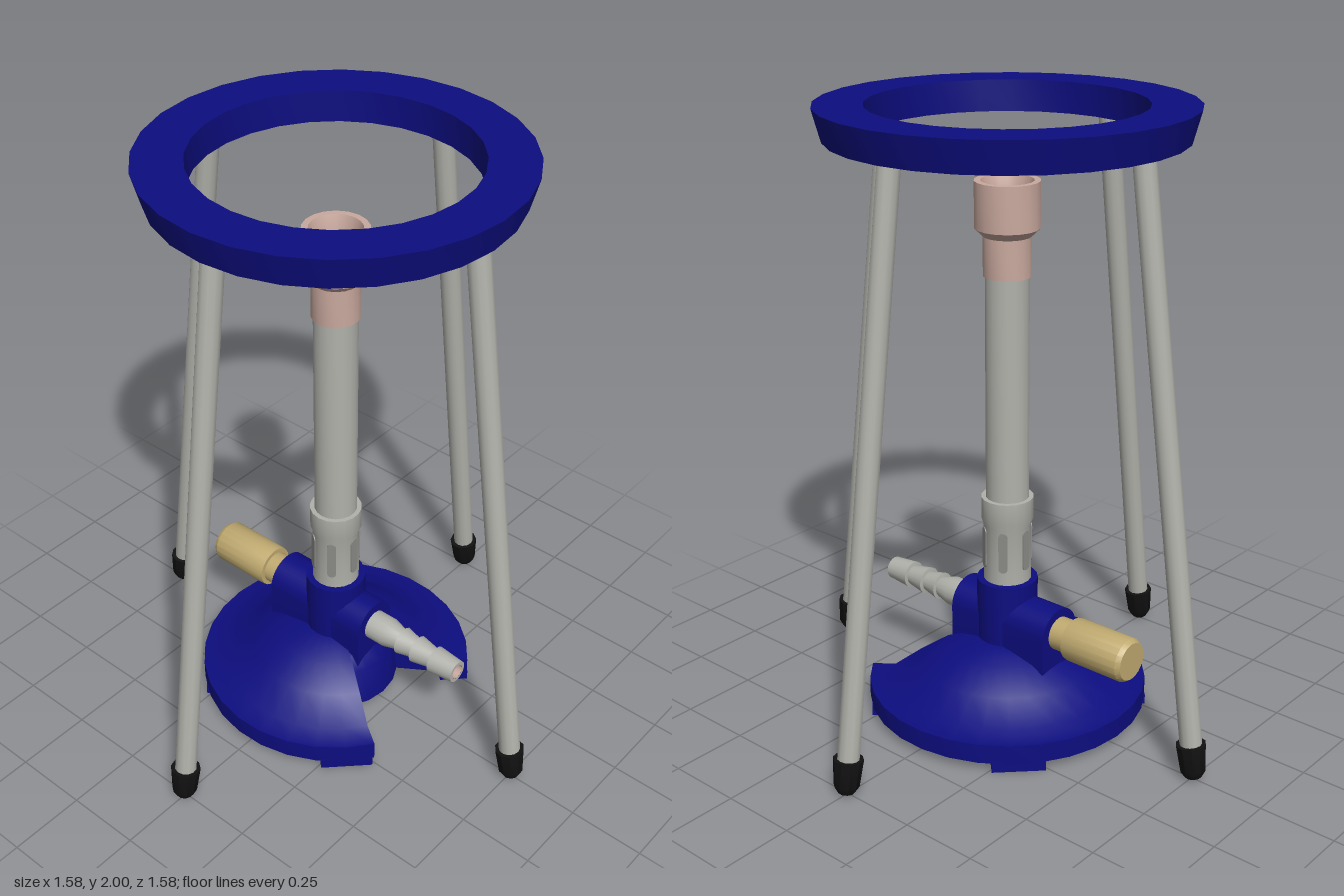
import * as THREE from 'three';
import { toCreasedNormals } from 'three/addons/utils/BufferGeometryUtils.js';

const material = (name, color, side = THREE.FrontSide) => {
  const m = new THREE.MeshStandardMaterial({ color, side });
  m.name = name;
  return m;
};

export function createModel() {
  const model = new THREE.Group();
  model.name = 'burnerAndStand';
  const blue = material('navy enamel', 0x0d0d80, THREE.DoubleSide);
  const steel = material('steel', 0xb2b2ac);
  const shade = material('slot grey', 0x8c8c88);
  const copper = material('copper', 0xc9a99e);
  const brass = material('brass', 0xc0aa70);
  const rubber = material('black rubber', 0x121212);
  const bore = material('bore slate', 0x44445f);

  const add = (name, geometry, mat, parent = model) => {
    const mesh = new THREE.Mesh(geometry, mat);
    mesh.name = name;
    parent.add(mesh);
    return mesh;
  };
  // Turned part from [radius, height] pairs, listed upwards on the outside
  const turned = (pts, segments = 20, start = 0, length = Math.PI * 2) =>
    toCreasedNormals(new THREE.LatheGeometry(
      pts.map(([r, y]) => new THREE.Vector2(r, y)), segments, start, length), 0.6);

  // Support ring
  add('supportRing', turned([[0.425, 1.9], [0.55, 1.9], [0.577, 2], [0.425, 2], [0.425, 1.9]], 28), blue);

  // Four splayed legs with rubber tips
  for (let i = 0; i < 4; i++) {
    const pivot = new THREE.Group();
    pivot.name = 'leg' + (i + 1);
    pivot.rotation.y = i * Math.PI / 2;
    const leg = new THREE.Group();
    leg.name = 'splayedLeg';
    leg.position.set(0.757, 0.006, 0);
    leg.rotation.z = 0.135;
    add('legRod', turned([[0, 0.08], [0.035, 0.08], [0.035, 1.925], [0, 1.925]], 12), steel, leg);
    add('rubberTip', turned([[0, 0], [0.026, 0.003], [0.04, 0.025], [0.048, 0.115], [0, 0.115]], 10), rubber, leg);
    pivot.add(leg);
    model.add(pivot);
  }

  // Domed base with a wedge cut out on the hose side
  const half = 0.585;
  const domeProfile = [[0, 0.03], [0.46, 0.03], [0.46, 0.095], [0.38, 0.1], [0.29, 0.165], [0.2, 0.22], [0.1, 0.245], [0, 0.25]];
  add('base', turned(domeProfile, 24, Math.PI / 2 + half, 2 * Math.PI - 2 * half), blue);
  const section = new THREE.ShapeGeometry(new THREE.Shape(domeProfile.map(([x, y]) => new THREE.Vector2(x, y))));
  for (const s of [-1, 1]) add('notchWall', section, blue).rotation.y = s * half;
  add('baseCore', turned([[0, 0.03], [0.215, 0.03], [0.2, 0.17], [0.17, 0.22], [0.1, 0.245], [0, 0.25]]), blue);

  // Low pads under the rim
  for (let i = 0; i < 4; i++) {
    const a = Math.PI / 4 + i * Math.PI / 2;
    const pad = add('basePad', new THREE.BoxGeometry(0.095, 0.035, 0.17), blue);
    pad.position.set(Math.cos(a) * 0.4075, 0.0175, Math.sin(a) * 0.4075);
    pad.rotation.y = -a;
  }

  // Valve body: an arched block crossed by an upright socket
  const arch = new THREE.Shape();
  arch.moveTo(-0.085, 0.17);
  arch.lineTo(0.085, 0.17);
  arch.lineTo(0.085, 0.318);
  arch.absarc(0, 0.318, 0.085, 0, Math.PI, false);
  arch.closePath();
  const block = new THREE.ExtrudeGeometry(arch, { depth: 0.39, bevelEnabled: false, curveSegments: 10 });
  const body = add('valveBody', toCreasedNormals(block, 0.6), blue);
  body.rotation.y = Math.PI / 2;
  body.position.x = -0.22;
  add('barrelSocket', turned([[0.1, 0.2], [0.1, 0.455], [0, 0.455]]), blue);

  // Brass needle valve
  const valve = add('valveKnob', turned([[0, 0.2], [0.055, 0.2], [0.055, 0.28], [0.07, 0.28],
    [0.072, 0.29], [0.072, 0.495], [0.062, 0.51], [0, 0.51]]), brass);
  valve.position.y = 0.32;
  valve.rotation.z = Math.PI / 2;

  // Barbed hose connector
  const hose = new THREE.Group();
  hose.name = 'hoseConnector';
  hose.position.y = 0.32;
  hose.rotation.z = -Math.PI / 2;
  model.add(hose);
  add('barbs', turned([[0, 0.15], [0.05, 0.15], [0.05, 0.235], [0.036, 0.29], [0.047, 0.292], [0.034, 0.352],
    [0.047, 0.354], [0.034, 0.425], [0.046, 0.427], [0.038, 0.518], [0.026, 0.518]], 16), steel, hose);
  add('hoseBore', turned([[0.026, 0.518], [0.026, 0.44], [0, 0.44]], 12), copper, hose);

  // Barrel and air collar with upright slots
  add('barrel', turned([[0.07, 0.7], [0.07, 1.49]], 18), steel);
  add('airCollar', turned([[0, 0.45], [0.078, 0.45], [0.078, 0.65], [0.085, 0.67], [0.085, 0.742], [0.07, 0.742]], 18), steel);
  const slot = new THREE.Shape();
  slot.absarc(0, 0.055, 0.015, 0, Math.PI, false);
  slot.absarc(0, -0.055, 0.015, Math.PI, Math.PI * 2, false);
  const slotGeometry = new THREE.ExtrudeGeometry(slot, { depth: 0.006, bevelEnabled: false, curveSegments: 6 });
  for (let i = 0; i < 6; i++) {
    const a = (i + 0.5) * Math.PI / 3;
    const plate = add('airSlot', slotGeometry, shade);
    plate.position.set(Math.sin(a) * 0.0745, 0.57, Math.cos(a) * 0.0745);
    plate.rotation.y = a;
  }

  // Flared burner head with its open bore
  add('burnerHead', turned([[0.068, 1.475], [0.076, 1.475], [0.076, 1.6], [0.102, 1.625], [0.102, 1.77],
    [0.082, 1.77], [0.064, 1.71], [0.064, 1.55]], 18), copper);
  add('burnerBore', turned([[0.064, 1.55], [0, 1.55]], 18), bore);

  return model;
}
